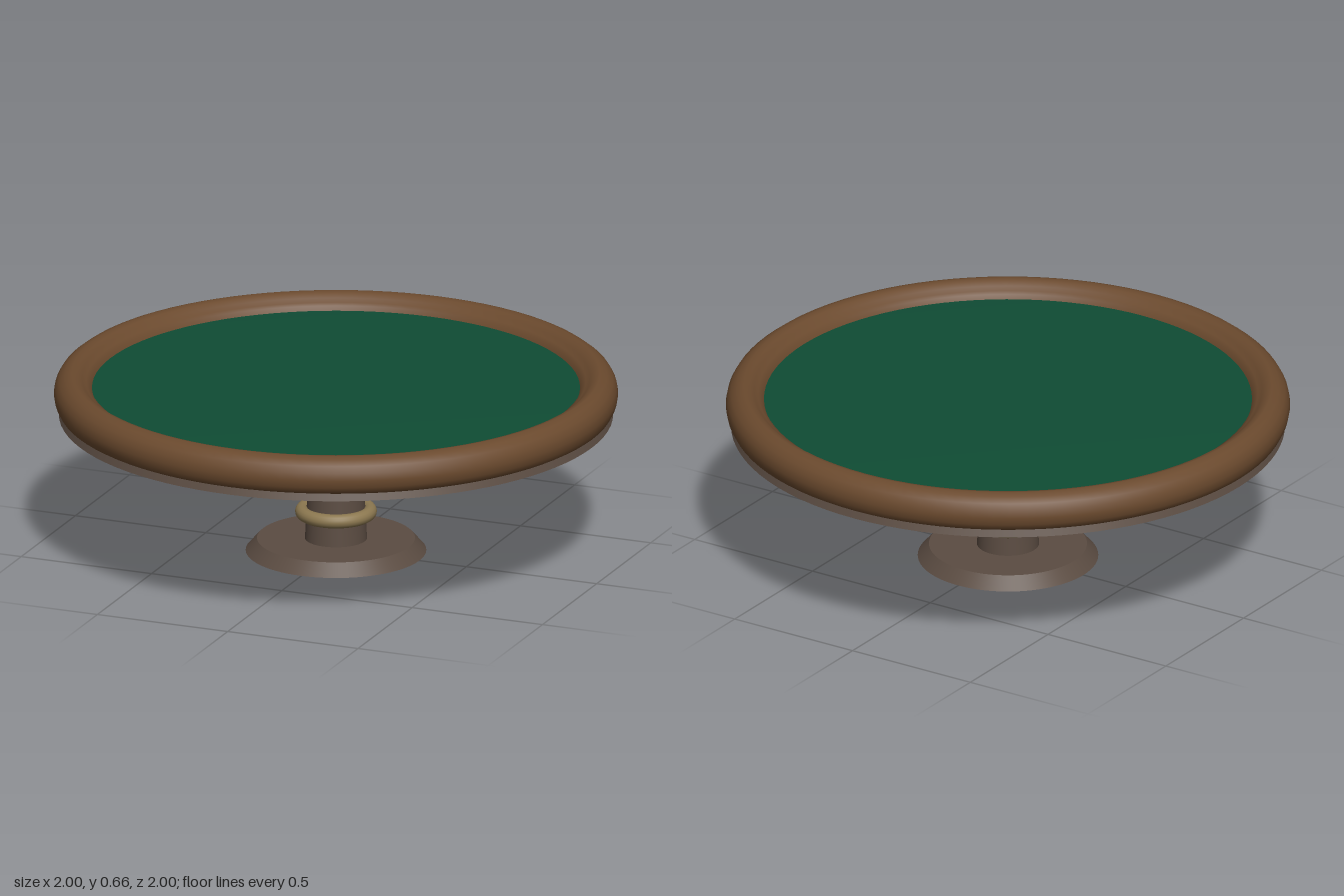
import * as THREE from 'three';

const material = (name, color) => {
  const m = new THREE.MeshStandardMaterial({ color });
  m.name = name;
  return m;
};

export function createModel() {
  const wood = material('warm wood', 0x6b4a2e);
  const darkWood = material('grey brown wood', 0x5b4c42);
  const felt = material('green felt', 0x0f4c34);
  const brass = material('aged brass', 0x8c7850);

  const table = new THREE.Group();
  table.name = 'roundTable';

  const add = (name, geometry, mat, y = 0) => {
    const mesh = new THREE.Mesh(geometry, mat);
    mesh.name = name;
    mesh.position.y = y;
    table.add(mesh);
    return mesh;
  };
  const lathe = (points) =>
    new THREE.LatheGeometry(points.map(([r, y]) => new THREE.Vector2(r, y)), 96);
  // Tapered disc or post standing between two heights
  const post = (name, rBottom, rTop, y0, y1) =>
    add(name, new THREE.CylinderGeometry(rTop, rBottom, y1 - y0, 96), darkWood, (y0 + y1) / 2);

  // Pedestal
  post('basePlate', 0.32, 0.28, 0, 0.045);
  post('column', 0.11, 0.09, 0.045, 0.43);
  post('columnCapital', 0.235, 0.205, 0.43, 0.505);
  const collar = add('brassCollar', new THREE.TorusGeometry(0.12, 0.025, 16, 96), brass, 0.145);
  collar.rotation.x = Math.PI / 2;

  // Table top underside
  post('apron', 0.982, 0.97, 0.505, 0.535);

  // Rounded rail with a stepped inner lip
  add('rail', lathe([
    [0.86, 0.53], [0.972, 0.53], [0.984, 0.537], [0.995, 0.558], [1, 0.585],
    [0.995, 0.612], [0.982, 0.635], [0.96, 0.652], [0.935, 0.66], [0.915, 0.655],
    [0.9, 0.642], [0.885, 0.63], [0.872, 0.622], [0.862, 0.6],
  ]), wood);

  // Playing surface, softly shaded over its edge
  add('feltTop', lathe([[0.865, 0.575], [0.865, 0.606], [0, 0.606]]), felt);

  return table;
}
